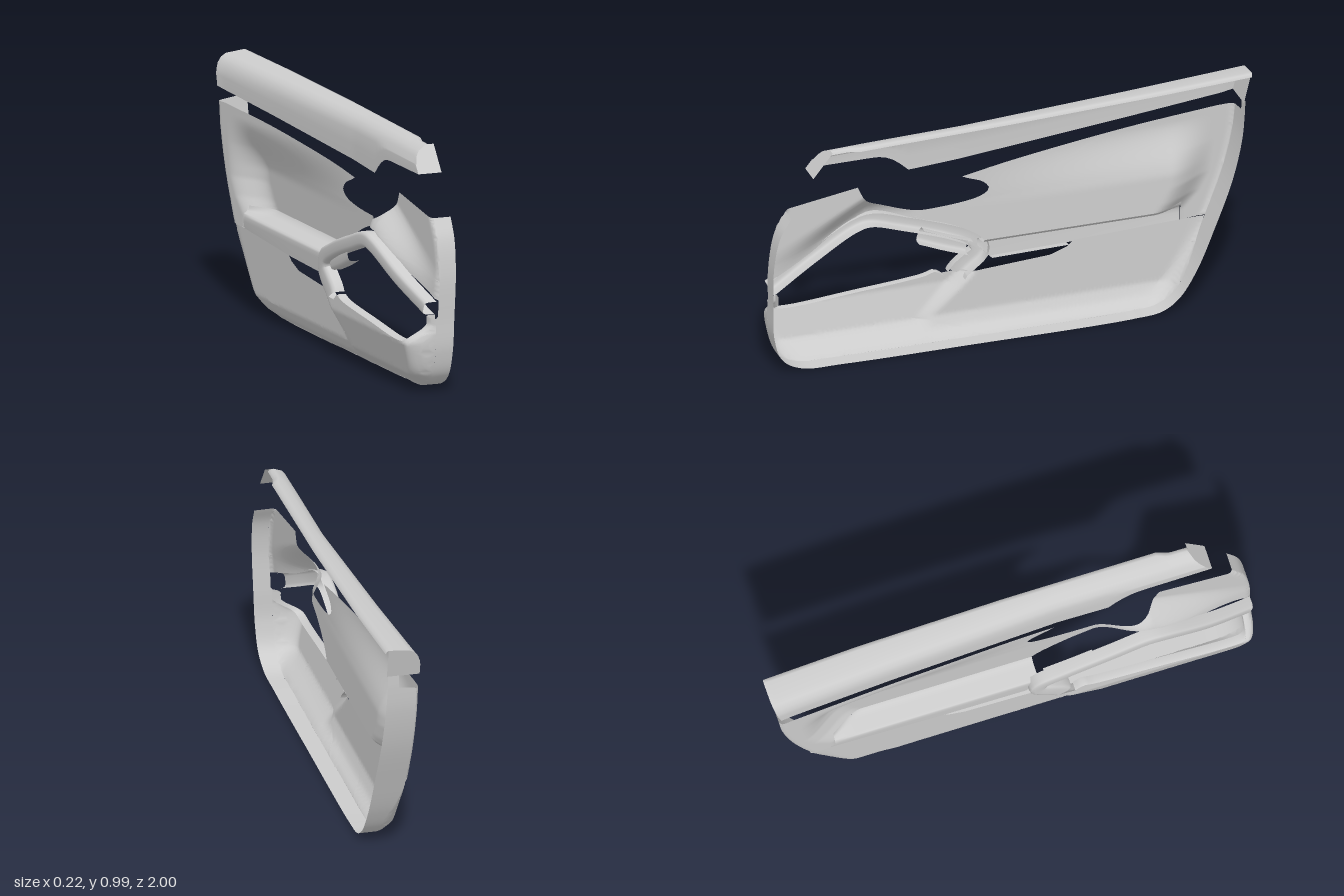
import * as THREE from 'three';
import { mergeVertices } from 'three/addons/utils/BufferGeometryUtils.js';

const V = (x, y, z) => new THREE.Vector3(x, y, z);
const { lerp, clamp } = THREE.MathUtils;
const sm = (a, b, v) => THREE.MathUtils.smoothstep(v, a, b);
const material = new THREE.MeshStandardMaterial({ color: 0xcccccc, side: THREE.DoubleSide });

// Linear interpolation through [position, value] pairs
function ramp(pairs, v) {
  for (let i = 1; i < pairs.length; i++) {
    const [a, p] = pairs[i - 1], [b, q] = pairs[i];
    if (v <= b || i === pairs.length - 1) return lerp(p, q, clamp((v - a) / (b - a), 0, 1));
  }
}

// Smooth [z, y] curve through a few points
function curve(pts, n) {
  const c = new THREE.CatmullRomCurve3(pts.map(([z, y]) => V(0, y, z)), false, 'centripetal');
  return c.getSpacedPoints(n).map(p => [p.z, p.y]);
}

function mesh(name, geometry) {
  const m = new THREE.Mesh(geometry, material);
  m.name = name;
  return m;
}

// Surface through rows of points
function loft(name, rows) {
  const n = rows[0].length, index = [];
  for (let i = 0; i < rows.length - 1; i++)
    for (let j = 0; j < n - 1; j++) {
      const a = i * n + j, b = a + n;
      index.push(a, b, a + 1, b, b + 1, a + 1);
    }
  const g = new THREE.BufferGeometry().setFromPoints(rows.flat());
  g.setIndex(index);
  g.computeVertexNormals();
  return mesh(name, g);
}

// Fill a [z, y] outline, split long edges, then push every point to x = depth(z, y)
function sheet(name, outline, depth, maxEdge = 0.0155) {
  const flat = new THREE.ShapeGeometry(new THREE.Shape(outline.map(p => new THREE.Vector2(...p))));
  const p = flat.attributes.position, ix = flat.index.array, stack = [], out = [];
  const at = i => V(0, p.getY(i), p.getX(i));
  for (let i = 0; i < ix.length; i += 3) stack.push([at(ix[i]), at(ix[i + 1]), at(ix[i + 2])]);
  while (stack.length) {
    const t = stack.pop();
    const len = [0, 1, 2].map(i => t[i].distanceTo(t[(i + 1) % 3]));
    const k = len.indexOf(Math.max(...len));
    if (len[k] <= maxEdge) { out.push(...t); continue; }
    const a = t[k], b = t[(k + 1) % 3], c = t[(k + 2) % 3];
    const m = a.clone().add(b).multiplyScalar(0.5);
    stack.push([a, m, c], [m, b, c]);
  }
  const pts = out.map(v => V(depth(v.z, v.y), v.y, v.z));
  let g = new THREE.BufferGeometry().setFromPoints(pts);
  g = mergeVertices(g, 1e-5);
  g.computeVertexNormals();
  return mesh(name, g);
}

// Outer edge of the door panel, from front top, along the bottom, to rear top
const rim = curve([[0.93, 0.69], [0.975, 0.61], [1, 0.48], [1, 0.3], [0.995, 0.16], [0.96, 0.06], [0.88, 0.012],
  [0.7, 0.003], [0.2, 0], [-0.5, 0.002], [-0.62, 0.015], [-0.69, 0.06], [-0.76, 0.16], [-0.84, 0.335],
  [-0.92, 0.54], [-0.96, 0.7], [-0.972, 0.805], [-0.975, 0.865]], 300);

// Rounded-over amount: 1 on the rim, 0 at a distance w inside it
function roundOver(z, y, w) {
  let d = w * w;
  for (const [a, b] of rim) d = Math.min(d, (z - a) ** 2 + (y - b) ** 2);
  const t = 1 - Math.sqrt(d) / w;
  return 1 - Math.sqrt(1 - t * t);
}

const wallX = z => ramp([[-1, -0.085], [-0.5, -0.045], [0.2, 0.01], [1, 0.02]], z);

// Upper panel relief: scoop above the armrest, flare towards the grip frame
function upperDepth(z, y) {
  let x = wallX(z);
  const back = ramp([[0.38, -0.76], [0.45, -0.83], [0.52, -0.87], [0.65, -0.89]], y);
  const scoop = sm(back, back + 0.2, z) * (1 - sm(0.56, 0.77, y));
  x = lerp(x, Math.max(x, ramp([[0.4, 0.022], [0.6, 0.012]], y)), scoop);
  const frameTop = 0.57 - Math.max(0, z - 0.57) * 0.5;
  x -= 0.085 * (1 - sm(0, 0.14, y - frameTop)) * sm(0.35, 0.55, z) * (1 - 0.85 * sm(0.6, 1, z));
  return x + 0.012 * roundOver(z, y, 0.025);
}

// Lower panel relief: deep bulge ahead of the storage pocket, flatter behind it
function lowerDepth(z, y) {
  const bulge = ramp([[0, 0.01], [0.07, -0.07], [0.2, -0.105], [0.33, -0.1]], y);
  const plain = ramp([[0, 0.01], [0.03, -0.03], [0.08, -0.056], [0.33, -0.066]], y);
  const start = ramp([[0.08, 0.28], [0.24, 0.1]], y);
  let x = lerp(plain, bulge, sm(start, start + 0.08, z));
  x = lerp(x, Math.max(x, -0.01), sm(0.86, 0.96, z) * sm(0.2, 0.28, y));
  const edge = z < 0 ? lerp(0.01, -0.06, sm(0.05, 0.33, y)) : 0.012;
  return lerp(x, Math.max(x, edge), roundOver(z, y, 0.05));
}

// Frame swept along a path of [x, y, z], as a channel open at the back
function channel(name, path, half, deep) {
  const c = new THREE.CatmullRomCurve3(path.map(p => V(...p)), false, 'centripetal');
  const section = [[-1, 1], [-1, 0.3], [-0.85, 0.1], [-0.5, 0], [0.5, 0], [0.85, 0.1], [1, 0.3], [1, 1]];
  const rows = [];
  for (let i = 0; i <= 70; i++) {
    const p = c.getPointAt(i / 70), t = c.getTangentAt(i / 70);
    const w = half(i / 70) / Math.hypot(t.y, t.z);
    rows.push(section.map(([u, v]) => V(p.x + v * deep, p.y + u * w * t.z, p.z - u * w * t.y)));
  }
  return loft(name, rows);
}

// Top rail: section swept along the window line, with slanted ends
function railRows() {
  const rows = [], N = 60;
  for (let i = 0; i <= N; i++) {
    const t = i / N, z = -1 + 1.84 * t;
    const top = lerp(0.99, 0.95, t);
    const bottom = ramp([[-1, 0.86], [0.41, 0.772], [0.45, 0.81], [0.49, 0.838], [0.54, 0.85], [0.84, 0.85]], z);
    const l = ramp([[-1, -0.085], [-0.5, -0.045], [0.2, 0], [0.84, 0.005]], z);
    const r = ramp([[-1, 0.06], [-0.6, 0.082], [0, 0.1], [0.66, 0.106], [0.73, 0.09], [0.84, 0.09]], z);
    const section = [[l, bottom], [l, lerp(bottom, top, 0.35)], [l + 0.003, top - 0.065], [l + 0.012, top - 0.04],
      [l + 0.028, top - 0.02], [l + 0.05, top - 0.008], [r - 0.02, top], [r - 0.006, top - 0.003], [r, top - 0.015]];
    rows.push(section.map(([x, y]) => {
      const drop = clamp((top - y) / 0.1, 0, 1.3);
      return V(x, y, z - 0.08 * sm(0.85, 1, t) * (1 - drop) + 0.025 * drop * (1 - sm(0, 0.05, t)));
    }));
  }
  return rows;
}

// Armrest: ledge, rounded nose and front face, fading into the rear of the panel
function armrestRows() {
  const rows = [], N = 50;
  for (let i = 0; i <= N; i++) {
    const z = lerp(-0.74, 0.1, i / N), wall = upperDepth(z, 0.42);
    const bottom = ramp([[-0.74, 0.331], [-0.28, 0.308], [0.05, 0.302], [0.1, 0.355]], z);
    const face = Math.min(wall, -0.07);
    const section = [[wall, 0.42], [lerp(wall, face, 0.1), 0.408], [lerp(wall, face, 0.3), 0.4],
      [lerp(wall, face, 0.85), 0.391], [face + 0.003, 0.386], [face, 0.378], [face, 0.36], [face + 0.004, bottom]];
    rows.push(section.map(([x, y]) => V(x, y, z)));
  }
  return rows;
}

export function createModel() {
  const group = new THREE.Group();
  group.name = 'doorPanel';
  const rearSeam = [-0.84, 0.335];

  // Lower panel
  const pocketEdge = curve([[0.24, 0.24], [0.275, 0.262], [0.32, 0.25], [0.6, 0.225], [0.9, 0.205],
    [0.945, 0.215], [0.957, 0.25], [0.957, 0.305]], 50);
  const lowerRim = rim.filter(([z, y]) => y < (z > 0 ? 0.31 : 0.33));
  const lowerTop = [[-0.74, 0.331], [-0.3, 0.314], [-0.27, 0.29], [-0.2, 0.265], [0.1, 0.247]];
  group.add(sheet('lowerPanel', [...lowerRim, rearSeam, ...lowerTop, ...pocketEdge], lowerDepth));
  group.add(loft('pocketLip', pocketEdge.map(([z, y]) => {
    const x = lowerDepth(z, y);
    return [V(x, y, z), V(x + 0.012, y + 0.006, z), V(x + 0.035, y + 0.004, z)];
  })));
  const storage = curve([[-0.27, 0.285], [-0.4, 0.235], [-0.52, 0.18], [-0.57, 0.145], [-0.56, 0.105],
    [-0.48, 0.08], [-0.3, 0.077], [0.24, 0.077], [0.295, 0.085], [0.28, 0.115], [0.14, 0.225], [0.08, 0.247]], 70);
  group.add(sheet('storagePocket', [...storage, [-0.2, 0.264]], (z, y) => lowerDepth(z, y) - 0.003));

  // Upper panel and armrest
  const rearRim = rim.filter(([z, y]) => z < 0 && y > 0.34 && y < 0.806);
  const frontRim = rim.filter(([z, y]) => z > 0 && y > 0.37);
  const upperTop = curve([[-0.9, 0.803], [-0.5, 0.783], [0, 0.737], [0.19, 0.71]], 30);
  const handleCut = curve([[0.17, 0.7], [0.1, 0.67], [0.077, 0.64], [0.11, 0.615], [0.3, 0.592], [0.46, 0.6],
    [0.55, 0.63], [0.595, 0.675], [0.625, 0.735]], 40);
  const lowerCut = curve([[0.8, 0.46], [0.62, 0.555], [0.55, 0.58], [0.4, 0.56], [0.25, 0.515], [0.13, 0.45], [0.1, 0.42]], 35);
  const armrestCut = [[-0.74, 0.42], [-0.74, 0.331]];
  group.add(sheet('upperPanel', [rearSeam, ...rearRim, ...upperTop, ...handleCut, ...frontRim, ...lowerCut, ...armrestCut],
    upperDepth));
  const armrest = armrestRows();
  group.add(loft('armrest', armrest));
  group.add(loft('armrestUnderside', armrest.filter(r => r[0].z > -0.28).map(r => {
    const p = r[r.length - 1];
    return [p, V(-0.035, p.y + 0.004, p.z)];
  })));

  // Side flange around the whole rim
  group.add(loft('rimFlange', rim.map(([z, y]) => {
    const upper = y > (z > 0 ? 0.31 : 0.335);
    const inner = y > 0.806 ? 0 : upper ? upperDepth(z, y) : lowerDepth(z, y);
    const outer = z > 0 ? 0.08 + 0.035 * y : lerp(0.08, 0.045, Math.min(1, y / 0.8));
    return [V(inner, y, z), V(outer, y, z)];
  })));

  // Grip frame around the front opening, widening where it meets the lower panel
  group.add(channel('gripFrame', [[-0.035, 0.342, 0.985], [-0.08, 0.435, 0.8], [-0.107, 0.528, 0.61], [-0.11, 0.54, 0.54],
    [-0.11, 0.5, 0.4], [-0.105, 0.43, 0.2], [-0.1, 0.38, 0.105], [-0.098, 0.335, 0.095], [-0.1, 0.295, 0.14],
    [-0.1, 0.262, 0.18], [-0.1, 0.243, 0.192]], t => lerp(0.03, 0.042, sm(0.75, 0.95, t)), 0.05));
  group.add(channel('gripInsert', [[-0.085, 0.44, 0.34], [-0.08, 0.4, 0.24], [-0.075, 0.365, 0.14]], () => 0.03, 0.045));

  // Top rail and its closed ends
  const rows = railRows(), front = rows[rows.length - 1];
  group.add(loft('topRail', rows));
  group.add(loft('railRearEnd', [rows[0], rows[0].map(p => V(Math.max(p.x, 0.048), p.y, p.z))]));
  group.add(loft('railFrontEnd', [front, front.map(p => V(Math.max(p.x, 0.104), p.y, p.z))]));
  return group;
}
